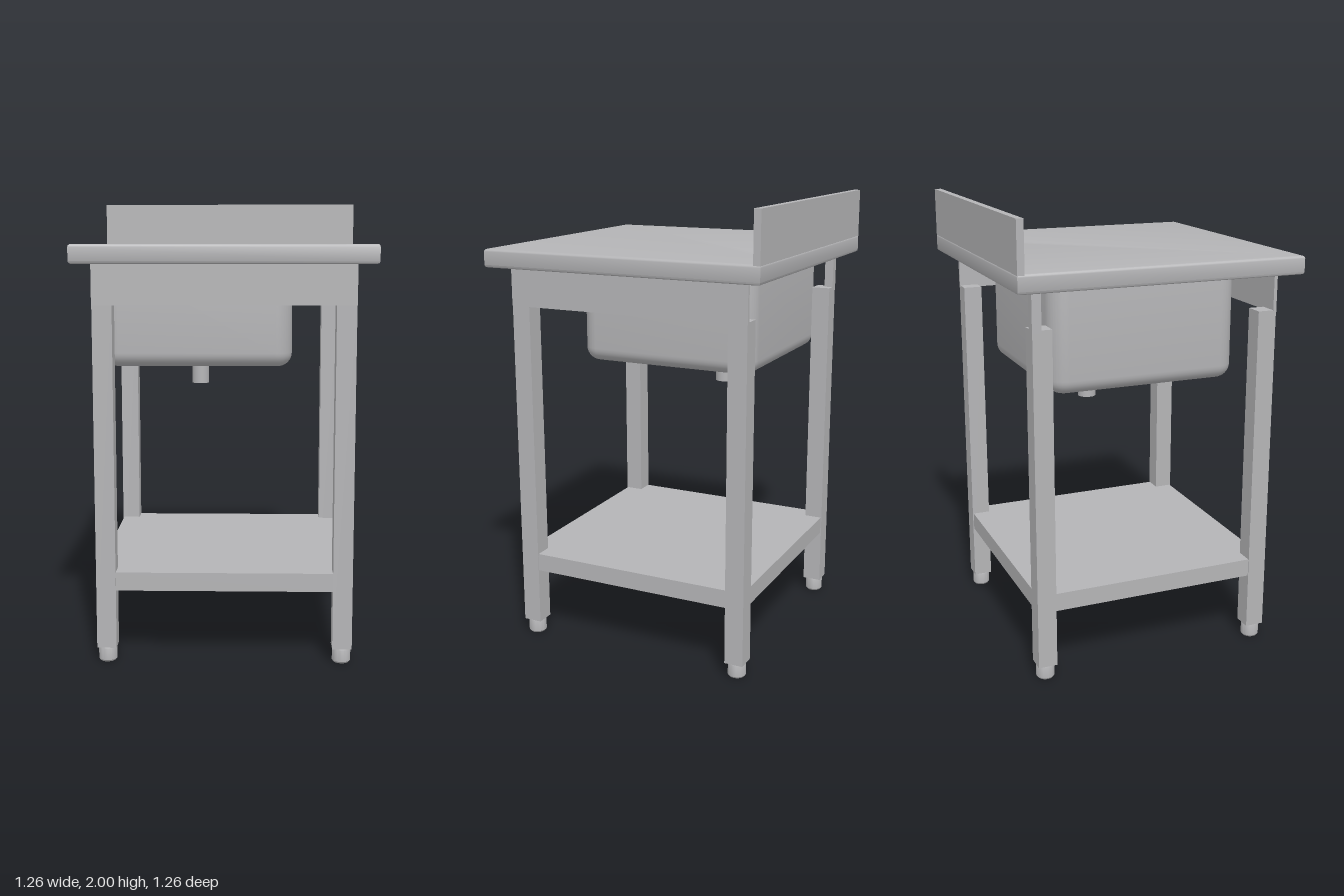
import * as THREE from 'three';
import { toCreasedNormals } from 'three/addons/utils/BufferGeometryUtils.js';

export function createModel() {
  const group = new THREE.Group();
  const steel = new THREE.MeshStandardMaterial({ color: 0xb4b4b6 });
  steel.name = 'brushed steel';

  const add = (name, geometry, x = 0, y = 0, z = 0) => {
    const mesh = new THREE.Mesh(geometry, steel);
    mesh.name = name;
    mesh.position.set(x, y, z);
    group.add(mesh);
    return mesh;
  };
  // Box given by its minimum and maximum corners
  const box = (name, x0, x1, y0, y1, z0, z1) =>
    add(name, new THREE.BoxGeometry(x1 - x0, y1 - y0, z1 - z0),
      (x0 + x1) / 2, (y0 + y1) / 2, (z0 + z1) / 2);
  // Horizontal plate: shape drawn in (x, -z), extruded upwards
  const plate = (shape, depth, bevel, segments) => {
    const g = new THREE.ExtrudeGeometry(shape, {
      depth, curveSegments: 10, bevelEnabled: bevel > 0,
      bevelSize: bevel, bevelThickness: bevel, bevelOffset: -bevel, bevelSegments: segments,
    });
    return toCreasedNormals(g.rotateX(-Math.PI / 2), 0.6);
  };

  // Worktop with soft edges and a small tap opening
  const topShape = new THREE.Shape();
  topShape.moveTo(-0.63, -0.63).lineTo(0.63, -0.63).lineTo(0.63, 0.63).lineTo(-0.63, 0.63).closePath();
  const tapHole = new THREE.Path();
  tapHole.absellipse(0.375, 0.58, 0.03, 0.02, 0, Math.PI, false);
  tapHole.closePath();
  topShape.holes.push(tapHole);
  const b = 0.012;
  add('worktop', plate(topShape, 0.08 - 2 * b, b, 3), 0, 1.71 + b, 0);
  box('backsplash', -0.63, 0.63, 1.785, 2, -0.63, -0.6);

  // Aprons on the front and right sides only
  box('frontApron', -0.55, 0.55, 1.54, 1.715, 0.535, 0.55);
  box('sideApron', 0.535, 0.55, 1.54, 1.715, -0.55, 0.535);
  box('rearCornerPost', -0.55, -0.51, 1.54, 1.715, -0.55, -0.51);

  // Basin with rounded corners and floor
  const x0 = -0.54, x1 = 0.29, z0 = -0.365, z1 = 0.465, r = 0.075;
  const basin = new THREE.Shape();
  basin.absarc(x1 - r, z1 - r, r, 0, Math.PI / 2);
  basin.absarc(x0 + r, z1 - r, r, Math.PI / 2, Math.PI);
  basin.absarc(x0 + r, z0 + r, r, Math.PI, Math.PI * 1.5);
  basin.absarc(x1 - r, z0 + r, r, Math.PI * 1.5, Math.PI * 2);
  basin.closePath();
  const round = 0.06;
  add('basin', plate(basin, 1.71 - 1.265 - round, round, 8), 0, 1.265 + round, 0);
  add('drainPipe', new THREE.CylinderGeometry(0.04, 0.04, 0.14, 24), -0.13, 1.21, -0.16);

  // Lower shelf, notched around the legs
  const o = 0.545, n = 0.465;
  const shelf = new THREE.Shape([
    [-n, -o], [n, -o], [n, -n], [o, -n], [o, n], [n, n],
    [n, o], [-n, o], [-n, n], [-o, n], [-o, -n], [-n, -n],
  ].map(([x, y]) => new THREE.Vector2(x, y)));
  add('shelf', plate(shelf, 0.08, 0, 1), 0, 0.32, 0);

  // Legs and adjustable feet
  const footProfile = [[0, 0], [0.034, 0], [0.04, 0.008], [0.04, 0.058], [0.036, 0.068], [0, 0.068]]
    .map(([x, y]) => new THREE.Vector2(x, y));
  const footGeometry = toCreasedNormals(new THREE.LatheGeometry(footProfile, 24), 0.5);
  for (const sx of [-1, 1]) {
    for (const sz of [-1, 1]) {
      const x = sx * 0.507, z = sz * 0.507;
      box('leg', x - 0.042, x + 0.042, 0.065, 1.55, z - 0.042, z + 0.042);
      add('foot', footGeometry, x, 0, z);
    }
  }
  return group;
}
